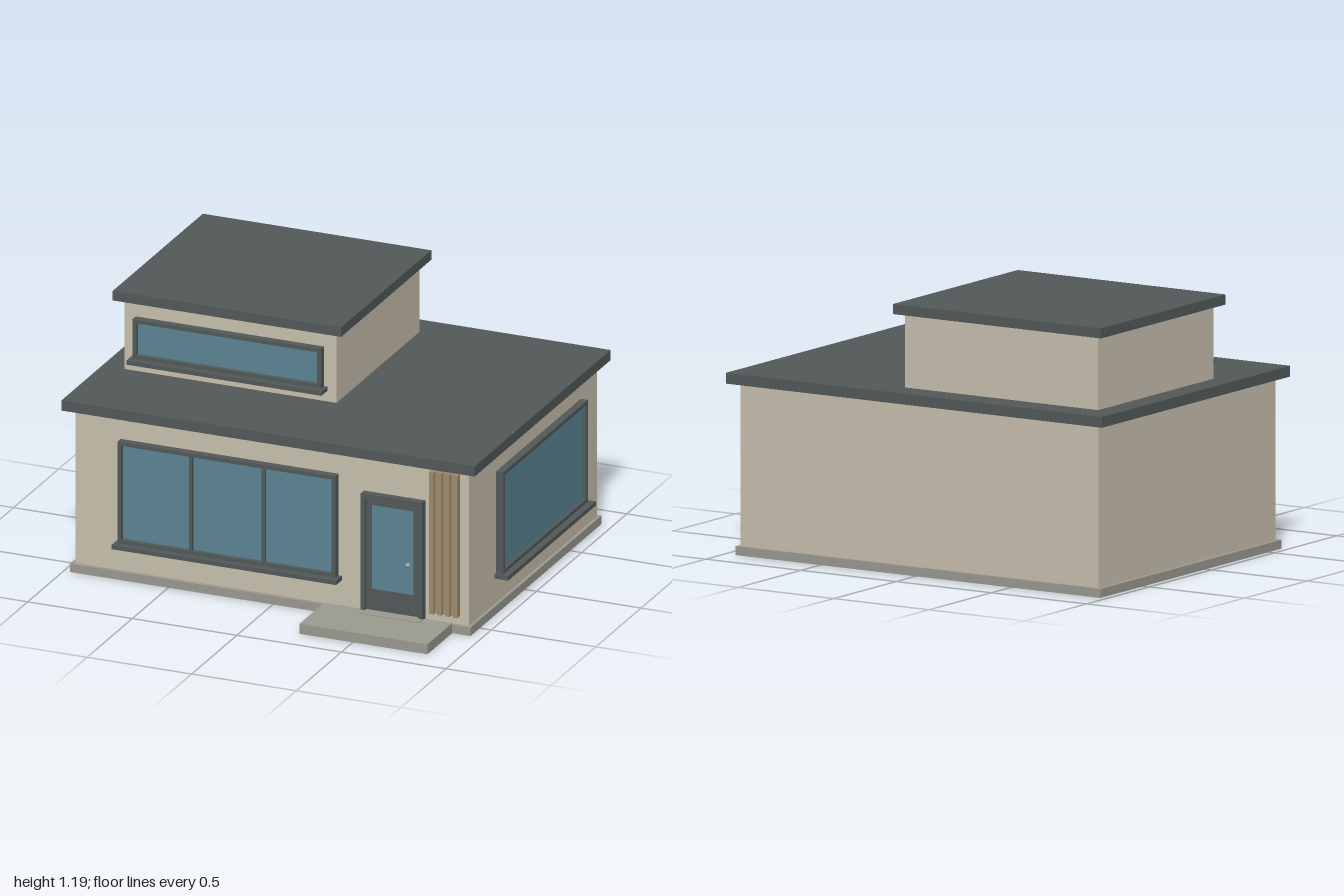
import * as THREE from 'three';

const mat = (name, color) => {
  const m = new THREE.MeshStandardMaterial({ color });
  m.name = name;
  return m;
};

export function createModel() {
  const wall = mat('cream wall', 0xc9c1af);
  const dark = mat('charcoal trim', 0x535a5a);
  const glass = mat('blue glass', 0x5c8594);
  const concrete = mat('concrete', 0x9b9b91);
  const wood = mat('wood', 0xa08c6d);
  const metal = mat('metal', 0xa3a39e);

  const model = new THREE.Group();
  model.name = 'house';

  // Box given by its minimum and maximum on each axis
  const box = (parent, name, material, x0, x1, y0, y1, z0, z1) => {
    const mesh = new THREE.Mesh(new THREE.BoxGeometry(x1 - x0, y1 - y0, z1 - z0), material);
    mesh.position.set((x0 + x1) / 2, (y0 + y1) / 2, (z0 + z1) / 2);
    mesh.name = name;
    parent.add(mesh);
    return mesh;
  };

  // Rectangular frame standing on z = 0 and reaching forward to the given depth
  const frame = (parent, name, x0, x1, y0, y1, t, depth) => {
    const s = new THREE.Shape();
    s.moveTo(x0, y0).lineTo(x1, y0).lineTo(x1, y1).lineTo(x0, y1).closePath();
    const h = new THREE.Path();
    h.moveTo(x0 + t, y0 + t).lineTo(x0 + t, y1 - t).lineTo(x1 - t, y1 - t).lineTo(x1 - t, y0 + t).closePath();
    s.holes.push(h);
    const mesh = new THREE.Mesh(new THREE.ExtrudeGeometry(s, { depth, bevelEnabled: false }), dark);
    mesh.name = name;
    parent.add(mesh);
  };

  // Window with frame, recessed pane, sill and evenly spaced mullions
  const makeWindow = (name, w, y0, y1, panes) => {
    const g = new THREE.Group();
    const t = 0.018;
    g.name = name;
    frame(g, 'windowFrame', -w / 2, w / 2, y0, y1, t, 0.035);
    box(g, 'windowPane', glass, -w / 2 + t, w / 2 - t, y0 + t, y1 - t, 0.008, 0.016);
    box(g, 'windowSill', dark, -w / 2 - 0.016, w / 2 + 0.016, y0 - 0.02, y0, 0, 0.065);
    for (let i = 1; i < panes; i++) {
      const x = -w / 2 + (w * i) / panes;
      box(g, 'mullion', dark, x - 0.008, x + 0.008, y0 + t, y1 - t, 0.012, 0.031);
    }
    model.add(g);
    return g;
  };

  // Ground storey
  box(model, 'foundation', concrete, -0.97, 0.945, 0, 0.04, -0.845, 0.602);
  box(model, 'lowerWalls', wall, -0.95, 0.93, 0.04, 0.767, -0.83, 0.585);
  box(model, 'lowerRoof', dark, -1, 0.975, 0.767, 0.815, -0.878, 0.627);

  // Upper storey
  box(model, 'upperWalls', wall, -0.893, 0.12, 0.815, 1.145, -0.745, 0.175);
  box(model, 'upperRoof', dark, -0.935, 0.157, 1.145, 1.19, -0.787, 0.21);

  // Windows
  makeWindow('frontWindow', 1.042, 0.18, 0.66, 3).position.set(-0.214, 0, 0.585);
  makeWindow('upperWindow', 0.9, 0.885, 1.072, 1).position.set(-0.39, 0, 0.175);
  const side = makeWindow('sideWindow', 0.938, 0.18, 0.66, 1);
  side.position.set(0.93, 0, -0.183);
  side.rotation.y = Math.PI / 2;

  // Entrance step
  box(model, 'entranceStep', concrete, 0.245, 0.857, 0, 0.047, 0.602, 0.875);

  // Door with jambs, glazed leaf, threshold and knob
  const door = new THREE.Group();
  door.name = 'door';
  door.position.z = 0.585;
  model.add(door);
  box(door, 'leftJamb', dark, 0.702, 0.722, 0.04, 0.6, 0, 0.035);
  box(door, 'rightJamb', dark, 0.428, 0.448, 0.04, 0.6, 0, 0.035);
  box(door, 'lintel', dark, 0.448, 0.702, 0.58, 0.6, 0, 0.035);
  box(door, 'doorLeaf', dark, 0.448, 0.702, 0.05, 0.58, 0, 0.02);
  box(door, 'doorPane', glass, 0.476, 0.674, 0.152, 0.546, 0.017, 0.022);
  box(door, 'threshold', concrete, 0.428, 0.722, 0.04, 0.051, 0, 0.075);
  const stem = new THREE.Mesh(new THREE.CylinderGeometry(0.005, 0.005, 0.024, 12), metal);
  stem.rotation.x = Math.PI / 2;
  stem.position.set(0.655, 0.297, 0.032);
  stem.name = 'knobStem';
  const knob = new THREE.Mesh(new THREE.SphereGeometry(0.011, 16, 12), metal);
  knob.position.set(0.655, 0.297, 0.042);
  knob.name = 'doorKnob';
  door.add(stem, knob);

  // Slatted timber panel beside the door
  box(model, 'slatBacking', wood, 0.752, 0.888, 0.08, 0.75, 0.585, 0.598);
  for (let i = 0; i < 4; i++) {
    const x = 0.752 + i * 0.038;
    box(model, 'slat', wood, x, x + 0.022, 0.08, 0.75, 0.598, 0.616);
  }

  return model;
}
